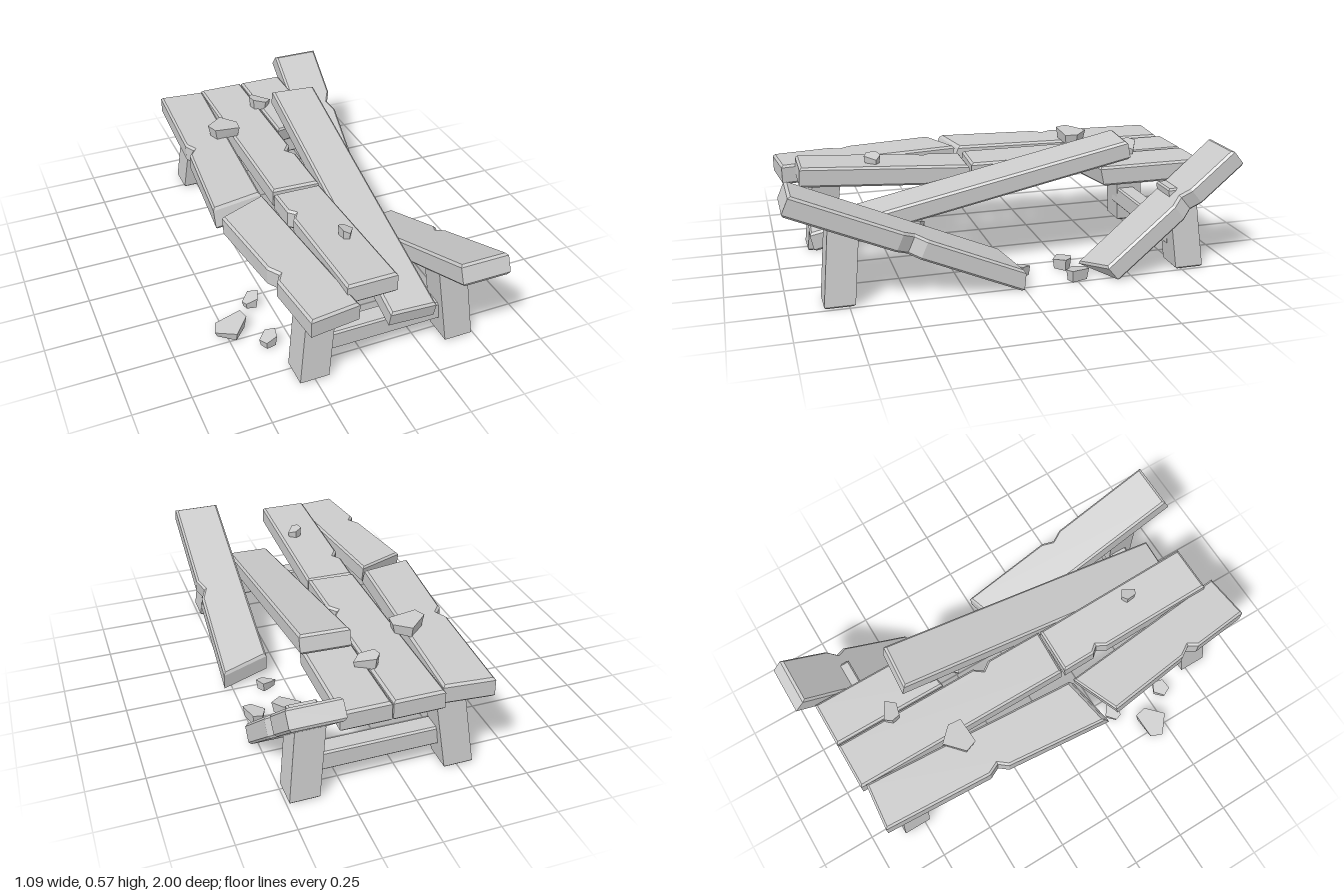
import * as THREE from 'three';
import { ConvexGeometry } from 'three/addons/geometries/ConvexGeometry.js';

const wood = new THREE.MeshStandardMaterial({ color: 0xcccccc, flatShading: true });

// Chamfered slab: outline in plan (x, z), top face at y = 0
function slab(outline, thickness, bevel) {
  const shape = new THREE.Shape(outline.map(([x, z]) => new THREE.Vector2(x, -z)));
  const geo = new THREE.ExtrudeGeometry(shape, {
    depth: thickness - 2 * bevel, bevelEnabled: true, bevelSegments: 1,
    bevelSize: bevel, bevelThickness: bevel, bevelOffset: -bevel,
  });
  geo.translate(0, 0, bevel - thickness);
  return geo.rotateX(-Math.PI / 2);
}

function editVertices(geo, rule) {
  const p = geo.attributes.position;
  const v = new THREE.Vector3();
  for (let i = 0; i < p.count; i++) {
    rule(v.fromBufferAttribute(p, i));
    p.setXYZ(i, v.x, v.y, v.z);
  }
  geo.computeVertexNormals();
  return geo;
}

function addMesh(group, name, geo) {
  const mesh = new THREE.Mesh(geo, wood);
  mesh.name = name;
  group.add(mesh);
  return mesh;
}

// Plank whose top passes through y0 at z = 0 and climbs by slope along z.
// end (+1 or -1) is the broken end; lean shifts its lower edge along the plank.
function plank(group, { name, outline, y0, slope = 0, thick = 0.09, end = 1, lean = 0 }) {
  const pitch = Math.atan(slope);
  const cos = Math.cos(pitch), sin = Math.sin(pitch);
  const pts = outline.map(([x, z]) => [x, z / cos]);
  const limit = Math.max(...pts.map((p) => p[1] * end));
  const geo = editVertices(slab(pts, thick, 0.01), (v) => {
    if (limit - v.z * end < 0.2) v.z += (lean * -v.y) / thick;
    const below = y0 + v.y * cos + v.z * sin;
    if (below < 0 && slope) v.z -= below / sin; // rest the broken end on the floor
  });
  const mesh = addMesh(group, name, geo);
  mesh.rotation.x = -pitch;
  mesh.position.y = y0;
}

// Splinter: plan polygon with a tapered, slanted top
function chunk(group, name, y, low, high, outline) {
  const n = outline.length;
  const cx = outline.reduce((s, p) => s + p[0], 0) / n;
  const cz = outline.reduce((s, p) => s + p[1], 0) / n;
  const minX = Math.min(...outline.map((p) => p[0]));
  const maxX = Math.max(...outline.map((p) => p[0]));
  const points = [];
  for (const [x, z] of outline) {
    const h = low + ((high - low) * (x - minX)) / (maxX - minX);
    points.push(new THREE.Vector3(x, y + h, z));
    points.push(new THREE.Vector3(cx + (x - cx) * 0.85, y, cz + (z - cz) * 0.85));
  }
  addMesh(group, name, new ConvexGeometry(points));
}

export function createModel() {
  const model = new THREE.Group();
  model.name = 'brokenTable';

  // Table top boards, snapped and shifted
  const boards = [
    { name: 'leftBackBoard', y0: 0.455, end: 1, lean: 0.035, outline: [
      [-0.36, -0.915], [-0.14, -0.895], [-0.2, 0.11], [-0.435, 0.15],
      [-0.392, -0.32], [-0.36, -0.36], [-0.385, -0.41]] },
    { name: 'leftFrontBoard', y0: 0.46, slope: -0.01, end: -1, lean: 0.02, outline: [
      [-0.42, 0.22], [-0.2, 0.13], [-0.115, 0.955], [-0.33, 0.98],
      [-0.36, 0.71], [-0.335, 0.67], [-0.367, 0.62]] },
    { name: 'middleBackBoard', y0: 0.45, outline: [
      [-0.14, -0.92], [0.08, -0.92], [0.08, -0.23], [0.05, -0.19],
      [0.08, -0.15], [0.08, 0.12], [-0.14, 0.11]] },
    { name: 'middleFrontBoard', y0: 0.434, slope: 0.063, end: -1, outline: [
      [-0.14, 0.125], [0.08, 0.13], [0.08, 0.89], [-0.14, 0.89],
      [-0.14, 0.35], [-0.115, 0.31], [-0.14, 0.28]] },
    { name: 'rightBackStubBoard', y0: 0.45, lean: -0.02, outline: [
      [0.085, -0.92], [0.3, -0.92], [0.3, -0.42], [0.085, -0.38]] },
    { name: 'looseLongBoard', y0: 0.455, slope: -0.222, thick: 0.085, outline: [
      [0.12, -0.545], [0.335, -0.53], [0.28, 0.88], [0.075, 0.87]] },
    { name: 'fallenFrontBoard', y0: 0.093, slope: 0.435, end: -1, lean: -0.03, outline: [
      [0.315, 0.06], [0.538, 0], [0.533, 0.42], [0.508, 0.47],
      [0.533, 0.52], [0.53, 0.97], [0.312, 0.97]] },
    { name: 'fallenBackBoard', y0: -0.2385, slope: -0.83, outline: [
      [0.3, -0.95], [0.525, -0.95], [0.53, -0.755], [0.505, -0.715],
      [0.533, -0.675], [0.54, -0.37], [0.33, -0.31]] },
  ];
  boards.forEach((b) => plank(model, b));

  // Splayed legs and the stretchers joining each pair
  const midX = 0.085, half = 0.065, height = 0.37;
  const square = [[-half, -half], [half, -half], [half, half], [-half, half]];
  const bar = [[-0.32, -0.045], [0.32, -0.045], [0.32, 0.045], [-0.32, 0.045]];
  for (const [end, sz] of [['front', 1], ['back', -1]]) {
    for (const [side, sx] of [['Left', 1], ['Right', -1]]) {
      const geo = editVertices(slab(square, height, 0.008).translate(0, height, 0), (v) => {
        v.x -= sx * 0.12 * v.y;
        v.z -= sz * 0.1 * v.y;
      });
      addMesh(model, end + side + 'Leg', geo).position.set(midX + sx * 0.34, 0, sz * 0.79);
    }
    addMesh(model, end + 'Stretcher', slab(bar, 0.09, 0.008)).position.set(midX, 0.18, sz * 0.757);
  }

  // Splinters lying on the boards
  chunk(model, 'boardSplinter1', 0.45, 0.06, 0.045, [
    [-0.255, -0.45], [-0.17, -0.525], [-0.105, -0.46], [-0.11, -0.4], [-0.235, -0.395]]);
  chunk(model, 'boardSplinter2', 0.445, 0.06, 0.03, [
    [0.035, -0.66], [0.06, -0.69], [0.145, -0.645], [0.105, -0.605], [0.045, -0.62]]);
  chunk(model, 'boardSplinter3', 0.465, 0.05, 0.025, [
    [-0.02, 0.54], [0.01, 0.525], [0.045, 0.55], [0.01, 0.6], [-0.015, 0.585]]);

  // Splinters scattered on the floor
  chunk(model, 'floorSplinter1', 0, 0.025, 0.06, [
    [-0.55, 0.45], [-0.53, 0.395], [-0.41, 0.385], [-0.4, 0.44], [-0.47, 0.515]]);
  chunk(model, 'floorSplinter2', 0, 0.03, 0.055, [
    [-0.39, 0.57], [-0.35, 0.53], [-0.31, 0.55], [-0.32, 0.6], [-0.37, 0.61]]);
  chunk(model, 'floorSplinter3', 0, 0.025, 0.06, [
    [-0.37, 0.3], [-0.33, 0.26], [-0.29, 0.29], [-0.31, 0.34], [-0.36, 0.33]]);
  chunk(model, 'floorSplinter4', 0, 0.04, 0.055, [
    [0.415, -0.25], [0.44, -0.305], [0.485, -0.305], [0.51, -0.22], [0.47, -0.205]]);
  chunk(model, 'floorSplinter5', 0, 0.03, 0.055, [
    [0.24, -0.24], [0.29, -0.29], [0.34, -0.275], [0.38, -0.235], [0.33, -0.19]]);
  chunk(model, 'floorSplinter6', 0, 0.03, 0.05, [
    [0.3, -0.03], [0.33, -0.05], [0.37, -0.07], [0.395, -0.03], [0.36, -0.01]]);

  return model;
}
